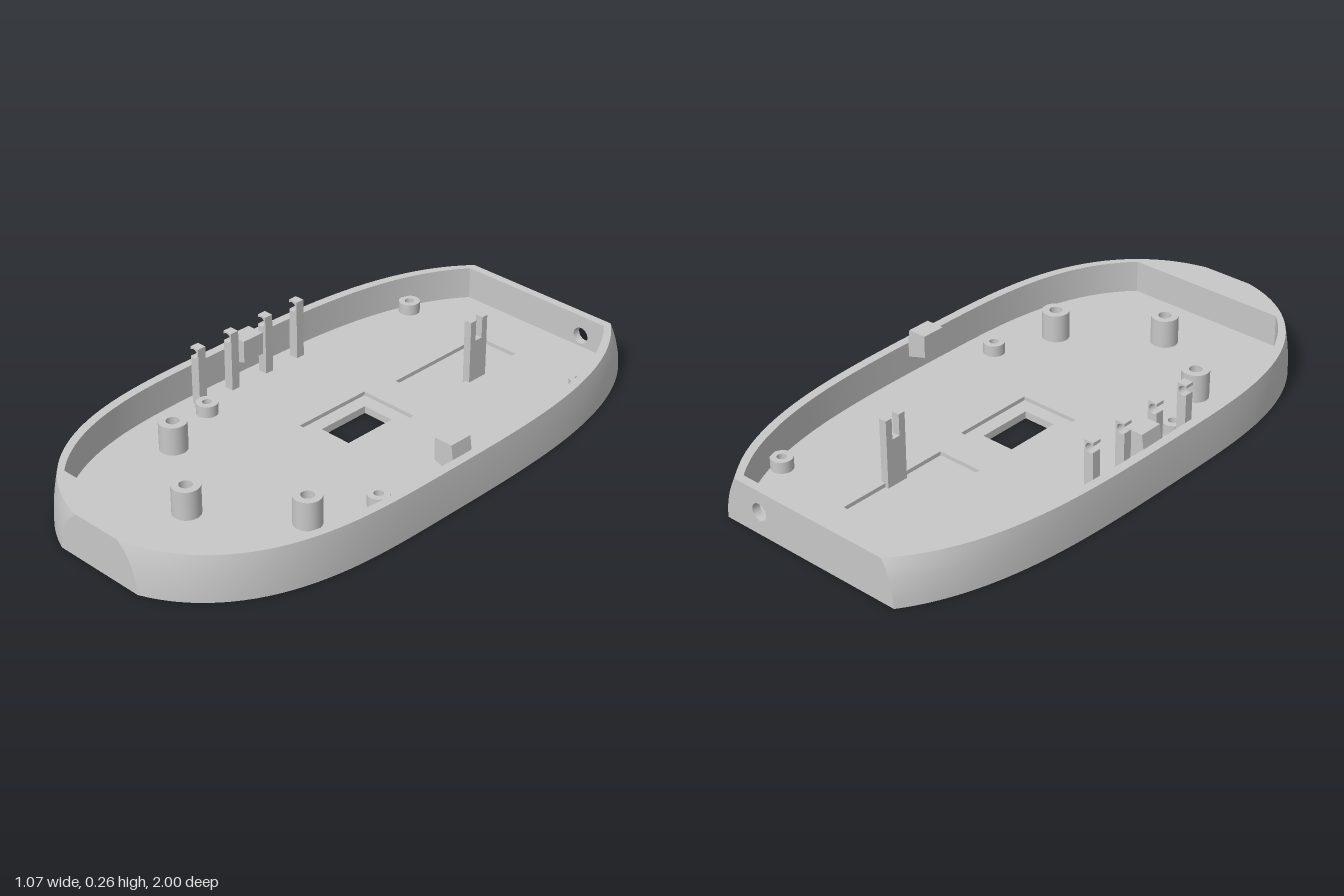
import * as THREE from 'three';

const H = 0.155, FLOOR = 0.04, RECESS = 0.026;
const INNER_BACK = -0.97, INNER_FRONT = 0.873;

// Half width of the body outline at the base
function baseWidth(z) {
  const t = z > 0.1 ? ((z - 0.1) / 0.9315) ** 3.1 : ((0.1 - z) / 1.296) ** 3.4;
  return 0.535 * Math.sqrt(Math.max(0, 1 - t));
}
// The outline shrinks slightly with height and is cut flat at both ends
function outerWidth(z, y) {
  const k = (y / H) ** 2;
  return (1 - 0.013 * k) * baseWidth(z / (1 - (z > 0 ? 0.022 : 0.048) * k));
}
const innerWidth = (z) => outerWidth(z, H) - 0.032;

// Stations from z0 to z1, denser toward the ends
function stations(z0, z1, n = 64) {
  return Array.from({ length: n + 1 }, (_, i) => z0 + (z1 - z0) * (0.5 - 0.5 * Math.cos((Math.PI * i) / n)));
}
// Closed symmetrical outline in plan
function outline(width, z0, z1) {
  const zs = stations(z0, z1);
  return [
    ...zs.map((z) => new THREE.Vector2(width(z), z)),
    ...zs.reverse().map((z) => new THREE.Vector2(-width(z), z)),
  ];
}
// Grid surface through rows of points
function skin(rows, flip) {
  const n = rows[0].length, index = [];
  for (let r = 0; r < rows.length - 1; r++) {
    for (let i = 0; i < n - 1; i++) {
      const a = r * n + i, b = a + 1, c = a + n, d = c + 1;
      index.push(...(flip ? [a, b, c, b, d, c] : [a, c, b, b, c, d]));
    }
  }
  const geo = new THREE.BufferGeometry();
  geo.setAttribute('position', new THREE.Float32BufferAttribute(rows.flat(2), 3));
  geo.setIndex(index);
  geo.computeVertexNormals();
  return geo;
}
function circle(x, y, r) {
  return new THREE.Path().absarc(x, y, r, 0, Math.PI * 2, true);
}
function rect(x0, x1, z0, z1) {
  return new THREE.Path([[x0, z0], [x0, z1], [x1, z1], [x1, z0]].map((p) => new THREE.Vector2(...p))).closePath();
}
const polygon = (pts) => new THREE.Shape(pts.map((p) => new THREE.Vector2(...p)));

export function createModel() {
  const model = new THREE.Group();
  model.name = 'lowerShell';
  const grey = new THREE.MeshStandardMaterial({ color: 0xc8c8c8, side: THREE.DoubleSide });
  grey.name = 'light grey plastic';

  function add(name, geo, x = 0, y = 0, z = 0) {
    const mesh = new THREE.Mesh(geo, grey);
    mesh.name = name;
    mesh.position.set(x, y, z);
    model.add(mesh);
    return mesh;
  }

  // Curved side walls, outside and inside
  const levels = [0, 0.2, 0.4, 0.6, 0.7, 0.8, 0.9, 1].map((t) => t * H);
  const outerZ = stations(-1, 1), innerZ = stations(INNER_BACK, INNER_FRONT);
  for (const s of [1, -1]) {
    add('outerSide', skin(levels.map((y) => outerZ.map((z) => [s * outerWidth(z, y), y, z])), s < 0));
    add('innerSide', skin([FLOOR, H].map((y) => innerZ.map((z) => [s * innerWidth(z), y, z])), s > 0));
  }

  // Flat ends, the back one pierced by a cable hole
  function endShape(z) {
    const right = levels.map((y) => [outerWidth(z, y), y]);
    return polygon([...right, ...right.map(([x, y]) => [-x, y]).reverse()]);
  }
  function innerEnd(z) {
    const w = innerWidth(z);
    return polygon([[-w, FLOOR], [w, FLOOR], [w, H], [-w, H]]);
  }
  const hole = { x: 0.205, y: 0.08, r: 0.03 };
  const back = endShape(-1), backInner = innerEnd(INNER_BACK);
  for (const shape of [back, backInner]) shape.holes.push(circle(hole.x, hole.y, hole.r));
  add('frontFace', new THREE.ShapeGeometry(endShape(1)), 0, 0, 1);
  // Turned about so that it faces backward
  back.holes[0] = circle(-hole.x, hole.y, hole.r);
  add('backFace', new THREE.ShapeGeometry(back), 0, 0, -1).rotation.y = Math.PI;
  add('backInnerWall', new THREE.ShapeGeometry(backInner), 0, 0, INNER_BACK);
  add('frontInnerWall', new THREE.ShapeGeometry(innerEnd(INNER_FRONT)), 0, 0, INNER_FRONT).rotation.y = Math.PI;
  const bore = new THREE.CylinderGeometry(hole.r, hole.r, 0.03, 24, 1, true).rotateX(Math.PI / 2);
  add('cableHole', bore, hole.x, hole.y, -0.985);

  // Top rim and the matching ring underneath
  const cavity = outline(innerWidth, INNER_BACK, INNER_FRONT);
  for (const [name, y] of [['topRim', H], ['bottomRing', 0]]) {
    const ring = new THREE.Shape(outline((z) => outerWidth(z, y), -1, 1));
    ring.holes.push(new THREE.Path(cavity));
    // The outline is symmetrical in x, so a half turn lets the rim face up
    const geo = new THREE.ShapeGeometry(ring).rotateX(Math.PI / 2);
    add(name, geo, 0, y, 0).rotation.z = y > 0 ? Math.PI : 0;
  }

  // Floor in two layers, so the upper one can hold the shallow recesses
  const screws = [[-0.3, 0.437], [0.3, 0.437], [0, 0.653]];
  const counterbore = 0.033;
  function floorLayer(name, top, depth, openings) {
    const shape = new THREE.Shape(cavity);
    shape.holes.push(...openings, ...screws.map(([x, z]) => circle(x, z, counterbore)));
    const geo = new THREE.ExtrudeGeometry(shape, { depth, bevelEnabled: false, curveSegments: 12 });
    add(name, geo.rotateX(Math.PI / 2), 0, top, 0);
  }
  floorLayer('lowerFloor', RECESS, RECESS, [rect(-0.06, 0.06, -0.185, 0.015)]);
  floorLayer('upperFloor', FLOOR, FLOOR - RECESS, [
    rect(-0.11, 0.11, -0.235, 0.065),
    rect(-0.083, 0.083, -0.775, -0.357),
  ]);

  // Turned part made of one lathe per band, which keeps its edges sharp
  function turned(name, x, z, pts) {
    for (let i = 0; i < pts.length - 1; i++) {
      const band = [pts[i], pts[i + 1]].map((p) => new THREE.Vector2(...p));
      add(name, new THREE.LatheGeometry(band, 24), x, 0, z);
    }
  }
  // Tall screw bosses, counterbored from below
  for (const [x, z] of screws) {
    turned('screwBoss', x, z, [
      [0.047, FLOOR], [0.047, 0.14], [0.022, 0.14], [0.022, 0.1], [counterbore, 0.1], [counterbore, FLOOR],
    ]);
  }
  // Short blind bosses
  for (const x of [-0.383, 0.383]) {
    for (const z of [-0.747, 0.217]) {
      turned('smallBoss', x, z, [[0.037, FLOOR], [0.037, 0.08], [0.016, 0.08], [0.016, FLOOR]]);
    }
  }

  // Row of cable hooks with round notches open to the side
  const hook = new THREE.Shape();
  hook.moveTo(-0.46, FLOOR);
  hook.lineTo(-0.425, FLOOR);
  hook.lineTo(-0.425, 0.253);
  hook.lineTo(-0.46, 0.253);
  hook.lineTo(-0.46, 0.242);
  hook.absarc(-0.447, 0.23, 0.017, 2.4, -2.4, true);
  hook.lineTo(-0.46, 0.218);
  hook.closePath();
  for (const z of [-0.25, -0.105, 0.049, 0.194]) {
    add('cableHook', new THREE.ExtrudeGeometry(hook, { depth: 0.032, bevelEnabled: false }), 0, 0, z - 0.016);
  }

  // Forked post beside the long recess
  const fork = polygon([
    [-0.04, RECESS], [0.04, RECESS], [0.04, 0.265], [0.015, 0.265],
    [0.015, 0.19], [-0.015, 0.19], [-0.015, 0.265], [-0.04, 0.265],
  ]);
  const forkGeo = new THREE.ExtrudeGeometry(fork, { depth: 0.028, bevelEnabled: false });
  add('forkedPost', forkGeo.translate(0, 0, -0.014).rotateY(Math.PI / 2), 0.084, 0, -0.56);

  // Snap blocks on both side walls
  const block = polygon([[0.422, 0.125], [0.505, 0.1], [0.497, 0.155], [0.49, 0.204], [0.422, 0.204]]);
  for (const s of [1, -1]) {
    const geo = new THREE.ExtrudeGeometry(block, { depth: 0.086, bevelEnabled: false }).translate(0, 0, -0.043);
    add('snapBlock', geo, 0, 0, -0.031).rotation.y = s > 0 ? 0 : Math.PI;
  }
  return model;
}
